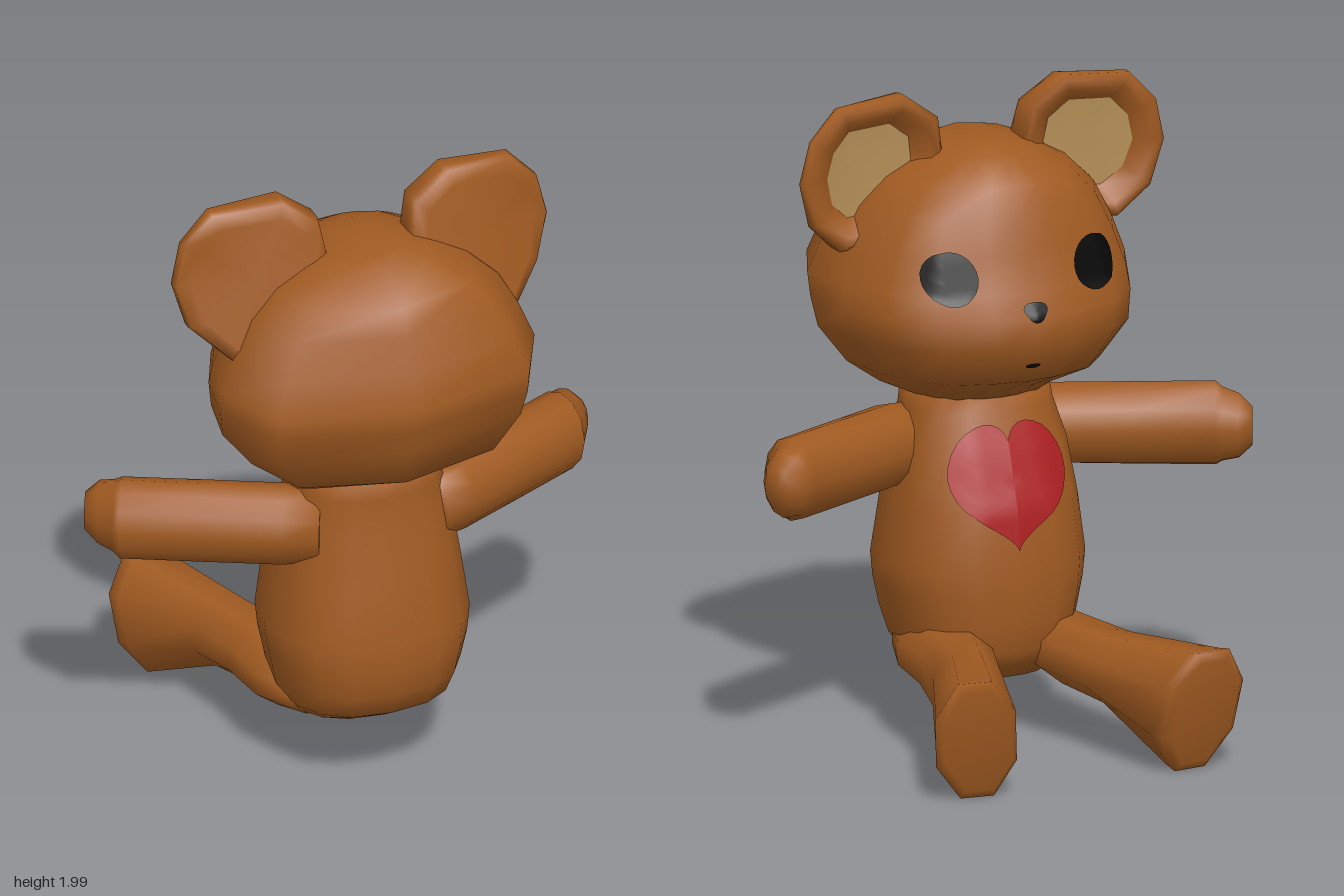
import * as THREE from 'three';

const flat = (name, color, extra = {}) => new THREE.MeshStandardMaterial({ name, color, ...extra });

// Skin through rings of points; each ring runs counter-clockwise seen from the loft's far end
function loft(rings, startCap = true, endCap = true) {
  const n = rings[0].length, pos = rings.flat().flatMap((p) => [p.x, p.y, p.z]), index = [];
  for (let i = 0; i < rings.length - 1; i++) {
    for (let j = 0; j < n; j++) {
      const a = i * n + j, b = i * n + (j + 1) % n;
      index.push(a, b, b + n, a, b + n, a + n);
    }
  }
  const cap = (i, flip) => {
    const c = new THREE.Vector3();
    rings[i].forEach((p) => c.addScaledVector(p, 1 / n));
    const id = pos.length / 3;
    pos.push(c.x, c.y, c.z);
    for (let j = 0; j < n; j++) {
      const a = i * n + j, b = i * n + (j + 1) % n;
      index.push(id, flip ? b : a, flip ? a : b);
    }
  };
  if (startCap) cap(0, true);
  if (endCap) cap(rings.length - 1, false);
  const g = new THREE.BufferGeometry();
  g.setAttribute('position', new THREE.Float32BufferAttribute(pos, 3));
  g.setIndex(index);
  g.computeVertexNormals();
  return g;
}

// Sine/cosine pairs around a loop, optionally turned by a fraction of a step
const around = (n, fn, turn = 0) => Array.from({ length: n }, (_, i) => {
  const a = ((i + turn) / n) * Math.PI * 2;
  return fn(Math.sin(a), Math.cos(a), a);
});

function mirrored(geometry) {
  const g = geometry.clone().scale(-1, 1, 1), ix = g.index.array;
  for (let i = 0; i < ix.length; i += 3) [ix[i], ix[i + 1]] = [ix[i + 1], ix[i]];
  g.computeVertexNormals();
  return g;
}

export function createModel() {
  const fur = flat('brown fur', 0xa05a21);
  const tan = flat('tan inner ear', 0xbd965c);
  const black = flat('black', 0x070707, { side: THREE.DoubleSide });
  const red = flat('red', 0xae2022, { side: THREE.DoubleSide });

  const bear = new THREE.Group();
  bear.name = 'teddyBear';
  const add = (name, geometry, material) => {
    const m = new THREE.Mesh(geometry, material);
    m.name = name;
    bear.add(m);
    return m;
  };
  const addPair = (name, geometry, material) => {
    add(name + 'PlusX', geometry, material);
    add(name + 'MinusX', mirrored(geometry), material);
  };

  // Head: rings of [y, half width, front z, back z] with a flat face and a broad, pointed back
  const half = [[0, 1], [0.8, 0.88], [1, 0.62], [0.93, 0.4], [0.79, 0.21], [0.58, 0.08], [0.26, 0.02], [0, 0]];
  const outline = [...half, ...half.slice(1, -1).reverse().map(([u, t]) => [-u, t])];
  const head = add('head', loft([
    [1.06, 0.22, 0.03, 0.36], [1.09, 0.29, 0, 0.42], [1.16, 0.39, -0.16, 0.55],
    [1.28, 0.485, -0.225, 0.59], [1.37, 0.5, -0.22, 0.62], [1.44, 0.5, -0.18, 0.63],
    [1.55, 0.455, -0.15, 0.59], [1.66, 0.395, -0.115, 0.55], [1.74, 0.31, -0.08, 0.52],
    [1.81, 0.18, 0.03, 0.4], [1.835, 0.08, 0.1, 0.34],
  ].map(([y, w, f, b]) => outline.map(([u, t]) => new THREE.Vector3(u * w, y, f + t * (b - f))))), fur);

  // Body: rounded-square rings of [y, half width, front z, back z]
  const soft = (v) => Math.sign(v) * Math.abs(v) ** 0.84;
  const body = add('body', loft([
    [0.2, 0.16, 0, 0.18], [0.25, 0.23, -0.06, 0.35], [0.3, 0.265, -0.09, 0.43],
    [0.38, 0.285, -0.1, 0.47], [0.47, 0.305, -0.105, 0.48], [0.55, 0.315, -0.1, 0.475],
    [0.73, 0.29, -0.085, 0.45], [0.9, 0.265, -0.03, 0.405], [1.02, 0.23, 0.015, 0.395],
    [1.1, 0.22, 0.04, 0.385],
  ].map(([y, w, f, b]) => around(16, (s, c) =>
    new THREE.Vector3(soft(s) * w, y, (f + b) / 2 + soft(c) * (b - f) / 2)))), fur);

  // Legs: sections of [x, y, z, half width, half height, tilt], flaring into octagonal feet
  addPair('leg', loft([
    [0.17, 0.29, 0.25, 0.09, 0.05, 0], [0.19, 0.285, 0.1, 0.125, 0.09, 0],
    [0.2, 0.28, -0.08, 0.13, 0.105, 0], [0.25, 0.265, -0.25, 0.12, 0.113, 0],
    [0.36, 0.205, -0.545, 0.135, 0.195, -0.2], [0.375, 0.2, -0.575, 0.137, 0.205, -0.2],
    [0.375, 0.2, -0.597, 0.115, 0.175, -0.2],
  ].map(([x, y, z, rx, ry, tilt]) => around(8, (s, c) => new THREE.Vector3(
    x + s * rx - tilt * 0.6 * c * ry, y + c * ry, z + tilt * (c * ry - 0.6 * s * rx)), 0.5))), fur);

  // Arms: sections of [distance, sideways shift, half depth, half height], angled out and forward
  const arm = loft([
    [-0.06, 0, 0.1, 0.11], [0.05, 0, 0.115, 0.125], [0.3, 0, 0.108, 0.128], [0.54, 0, 0.1, 0.13],
    [0.56, -0.012, 0.09, 0.115], [0.61, -0.03, 0.078, 0.1], [0.65, -0.035, 0.048, 0.06],
  ].map(([x, dz, rz, ry]) => around(12, (s, c) => new THREE.Vector3(x, c * ry, dz + s * rz))));
  arm.rotateY(0.455).translate(0.22, 0.9, 0.25);
  addPair('arm', arm, fur);

  // Ears: one outline scaled and pushed between a wedge-shaped back and the front
  const earEdge = [[0.13, 1.8], [0.15, 1.92], [0.26, 2], [0.48, 1.985], [0.57, 1.89],
    [0.6, 1.76], [0.56, 1.62], [0.46, 1.53], [0.3, 1.55], [0.18, 1.66]];
  const earRing = ([scale, f]) => earEdge.map(([ex, ey]) => {
    const x = 0.36 + (ex - 0.36) * scale, y = 1.77 + (ey - 1.77) * scale;
    const front = 0.13 + (2 - y) * 0.06;
    const back = 0.22 + (2 - y) * 0.23 - Math.max(0, x - 0.42) * 0.7;
    return new THREE.Vector3(x, y, THREE.MathUtils.lerp(Math.max(back, front + 0.04), front, f));
  });
  addPair('ear', loft([[0.8, -0.03], [0.97, 0.08], [1, 0.35], [1, 0.85], [0.93, 1], [0.8, 1], [0.61, 0.6]]
    .map(earRing), true, false), fur);
  addPair('innerEar', loft([[0.61, 0.6], [0.35, 0.58]].map(earRing), false, true), tan);

  // Painted patches: an outline draped over the front of a mesh
  const ray = new THREE.Raycaster(), forward = new THREE.Vector3(0, 0, 1);
  const patch = (target, cx, cy, edge, lift = 0.007) => loft([1, 0.8, 0.6, 0.4, 0.2].map((k) =>
    edge.map(([x, y]) => {
      ray.set(new THREE.Vector3(cx + x * k + 1e-4, cy + y * k, -3), forward);
      const hit = ray.intersectObject(target)[0];
      return hit.point.addScaledVector(hit.face.normal, lift);
    })), false, true);
  const oval = (rx, ry) => around(24, (s, c) => [s * rx, c * ry]);

  addPair('eye', patch(head, 0.235, 1.492, oval(0.078, 0.08)), black);
  add('nose', patch(head, 0, 1.385, around(16, (s, c) => [s * (0.036 + 0.014 * c), c * 0.028]), 0.009), black);
  add('mouth', patch(head, 0, 1.22, oval(0.024, 0.008), 0.005), black);
  add('heart', patch(body, 0, 0.82, around(48, (s, c, a) => [
    0.0119 * 16 * s ** 3,
    0.0145 * (13 * c - 2 * Math.cos(2 * a) - 2 * Math.cos(3 * a) - Math.cos(4 * a)),
  ])), red);

  return bear;
}
